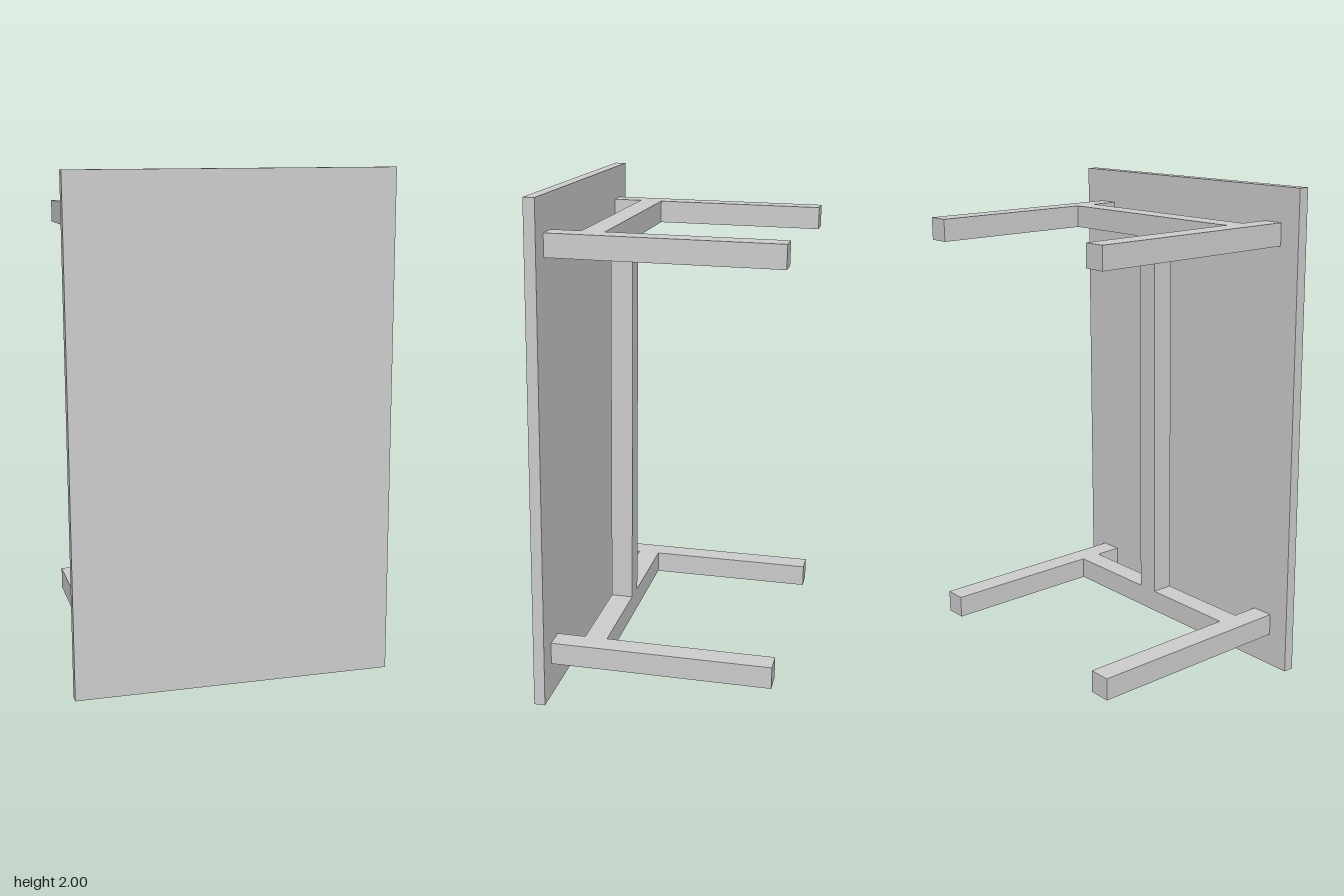
import * as THREE from 'three';

export function createModel() {
  const model = new THREE.Group();
  const material = new THREE.MeshStandardMaterial({ color: 0xcccccc, flatShading: true });

  // Table tipped on its side: the top faces +z, legs point to -z, with a slight lean
  const table = new THREE.Group();
  table.name = 'table';
  table.position.set(0, 1, 0.445);
  table.rotation.set(-0.0135, -0.003, 0.0022);
  model.add(table);

  function addBox(name, w, h, d, x, y, z) {
    const mesh = new THREE.Mesh(new THREE.BoxGeometry(w, h, d), material);
    mesh.name = name;
    mesh.position.set(x, y, z);
    table.add(mesh);
  }

  const bar = 0.09, legX = 0.498, legY = 0.816;
  const boardDepth = 0.044, legEnd = -0.908, railZ = -0.183;

  addBox('tableTop', 1.268, 1.996, boardDepth, 0, 0, 0);

  // Four legs, and a rail joining each pair
  const legLength = -boardDepth / 2 - legEnd;
  for (const sy of [-1, 1]) {
    for (const sx of [-1, 1]) {
      addBox('leg', bar, bar, legLength, sx * legX, sy * legY, legEnd + legLength / 2);
    }
    addBox('crossRail', 2 * legX - bar, bar, bar, 0, sy * legY, railZ);
  }

  // Long stretcher between the two rails
  addBox('stretcher', bar, 2 * legY - bar, bar, 0, 0, railZ);

  return model;
}
